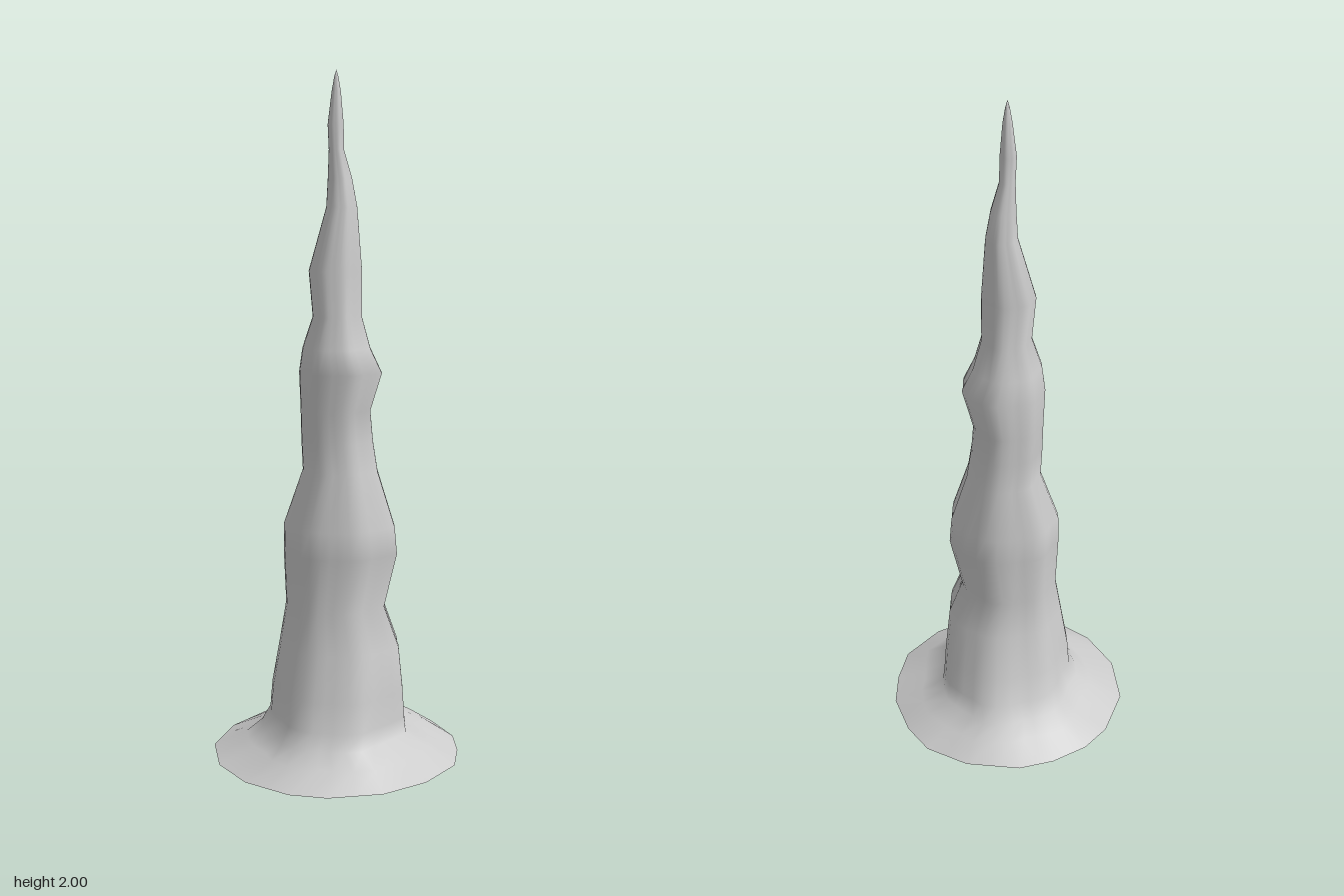
import * as THREE from 'three';

// Irregular outline of the foot (x, z), running left edge, back, right edge, front
const FOOT = [
  [-0.37, -0.01], [-0.33, -0.165], [-0.27, -0.25], [-0.175, -0.32], [-0.075, -0.36], [0.09, -0.36],
  [0.22, -0.31], [0.295, -0.23], [0.357, -0.11], [0.367, 0], [0.355, 0.115], [0.27, 0.24],
  [0.15, 0.325], [-0.005, 0.36], [-0.115, 0.343], [-0.245, 0.265], [-0.335, 0.145],
];

// Cross-sections: height, min x, max x, min z, max z
const RINGS = [
  [0, -0.37, 0.367, -0.36, 0.36],
  [0.045, -0.265, 0.28, -0.305, 0.29],
  [0.085, -0.22, 0.21, -0.262, 0.252],
  [0.13, -0.195, 0.205, -0.23, 0.226],
  [0.21, -0.188, 0.2, -0.198, 0.202],
  [0.34, -0.165, 0.187, -0.152, 0.17],
  [0.46, -0.146, 0.143, -0.133, 0.141],
  [0.62, -0.152, 0.18, -0.14, 0.146],
  [0.7, -0.15, 0.173, -0.135, 0.145],
  [0.86, -0.096, 0.122, -0.117, 0.112],
  [0.95, -0.1, 0.108, -0.107, 0.106],
  [1.04, -0.102, 0.1, -0.11, 0.106],
  [1.15, -0.105, 0.133, -0.108, 0.12],
  [1.22, -0.095, 0.1, -0.095, 0.118],
  [1.31, -0.066, 0.075, -0.067, 0.086],
  [1.44, -0.077, 0.075, -0.065, 0.081],
  [1.62, -0.028, 0.06, -0.052, 0.041],
  [1.7, -0.024, 0.045, -0.046, 0.027],
  [1.78, -0.021, 0.022, -0.024, 0.019],
  [1.85, -0.024, 0.021, -0.022, 0.021],
  [1.94, -0.013, 0.013, -0.014, 0.013],
  [1.98, -0.006, 0.006, -0.006, 0.006],
];

// Outline with edge midpoints, scaled to a unit radius
const outline = FOOT.flatMap(([x, z], i) => {
  const [nx, nz] = FOOT[(i + 1) % FOOT.length];
  return [[x, z], [(x + nx) / 2, (z + nz) / 2]];
}).map(([x, z]) => [x / 0.368, z / 0.36]);
const N = outline.length;

function ringPoints([y, x0, x1, z0, z1], level) {
  const lobe = level === 0 ? 0 : 0.035; // seven soft vertical ridges
  return outline.flatMap(([ux, uz]) => {
    const m = 1 + lobe * Math.cos(7 * (Math.atan2(uz, ux) - 0.33));
    return [(x0 + x1) / 2 + ux * m * (x1 - x0) / 2, y, (z0 + z1) / 2 + uz * m * (z1 - z0) / 2];
  });
}

function buildMesh(name, positions, index) {
  const geometry = new THREE.BufferGeometry();
  geometry.setAttribute('position', new THREE.Float32BufferAttribute(positions, 3));
  geometry.setIndex(index);
  geometry.computeVertexNormals();
  const mesh = new THREE.Mesh(geometry, new THREE.MeshStandardMaterial({ color: 0xcccccc, roughness: 0.9 }));
  mesh.name = name;
  return mesh;
}

export function createModel() {
  const group = new THREE.Group();
  group.name = 'stalagmite';

  // Lumpy tapering spire, closed at the tip
  const positions = RINGS.flatMap(ringPoints);
  positions.push(0, 2, 0);
  const tip = RINGS.length * N;
  const index = [];
  for (let r = 0; r < RINGS.length; r++) {
    for (let i = 0; i < N; i++) {
      const a = r * N + i;
      const b = r * N + (i + 1) % N;
      if (r === RINGS.length - 1) index.push(a, tip, b);
      else index.push(a, a + N, b, b, a + N, b + N);
    }
  }
  group.add(buildMesh('spire', positions, index));

  // Flat underside
  const under = ringPoints(RINGS[0], 0);
  under.push(0, 0, 0);
  const fan = [];
  for (let i = 0; i < N; i++) fan.push(N, i, (i + 1) % N);
  group.add(buildMesh('underside', under, fan));

  return group;
}
